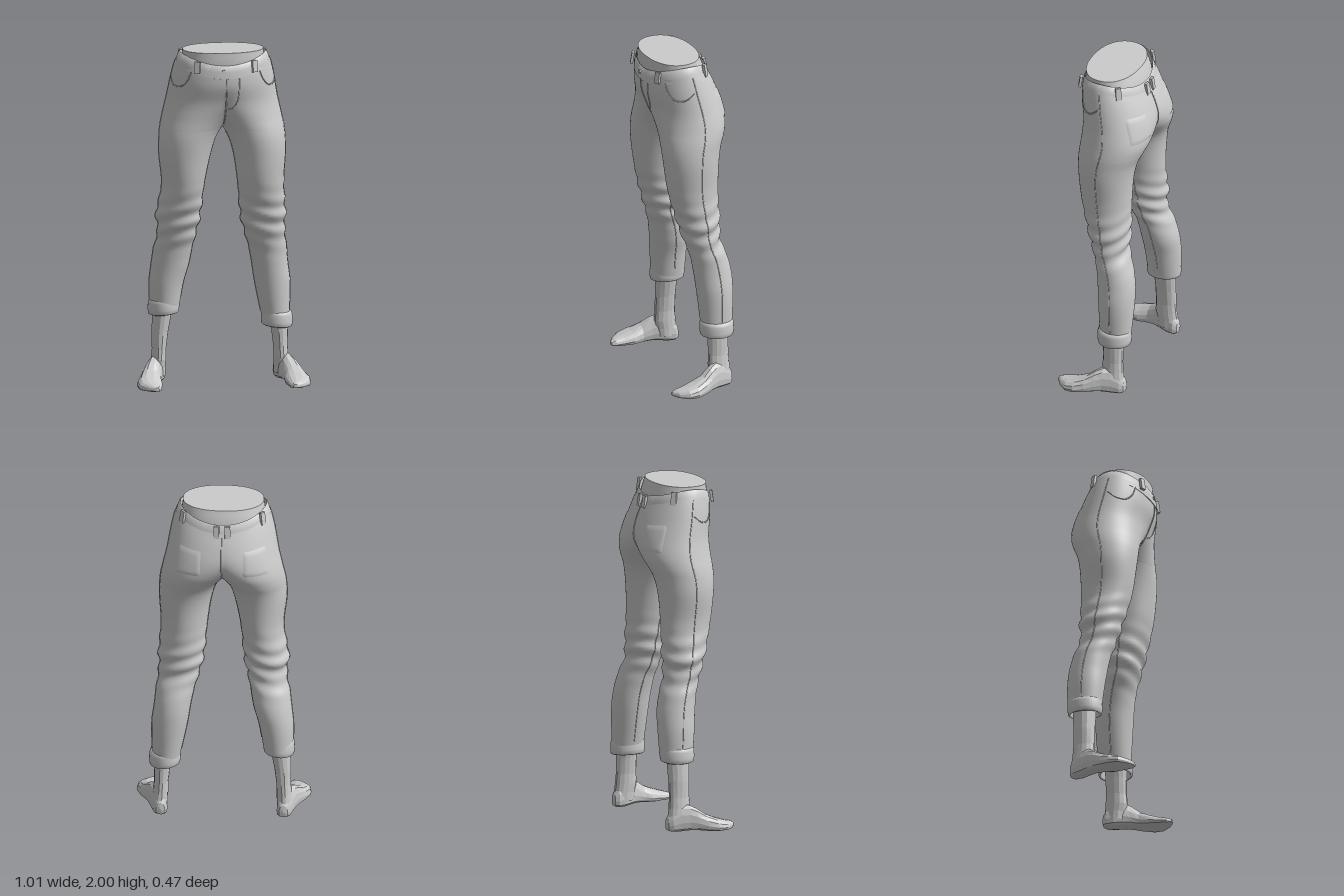
import * as THREE from 'three';
import { mergeGeometries, mergeVertices, toCreasedNormals } from 'three/addons/utils/BufferGeometryUtils.js';

const V = (x, y, z) => new THREE.Vector3(x, y, z);
const cloth = new THREE.MeshStandardMaterial({ color: 0xcccccc, side: THREE.DoubleSide });
const skin = new THREE.MeshStandardMaterial({ color: 0xcccccc, flatShading: true, side: THREE.DoubleSide });

// Surface through rows of points; winding is outward for rows going up, columns going from +x to +z
function loft(rows, flip = false) {
  const n = rows[0].length, pos = [], idx = [];
  rows.forEach(r => r.forEach(p => pos.push(p.x, p.y, p.z)));
  for (let i = 0; i < rows.length - 1; i++) for (let j = 0; j < n - 1; j++) {
    const a = i * n + j, b = a + n, c = a + 1, d = b + 1;
    idx.push(...(flip ? [a, c, b, b, c, d] : [a, b, c, b, d, c]));
  }
  const g = new THREE.BufferGeometry();
  g.setAttribute('position', new THREE.Float32BufferAttribute(pos, 3));
  g.setIndex(idx);
  return g;
}
const smooth = g => {
  g = mergeVertices(g, 1e-4);
  g.computeVertexNormals();
  return g;
};
// Closed ring of n sides built from an angle rule
const ring = (n, f) => Array.from({ length: n + 1 }, (_, i) => f((i % n) / n * Math.PI * 2));
const soft = (v, e) => Math.sign(v) * Math.abs(v) ** e;

// Trouser sections: height, outer x, inner x, front z, back z
const HIP = [[1.4, .37, .06, .175, -.16], [1.48, .367, .032, .18, -.178], [1.53, .362, 0, .18, -.2],
  [1.6, .348, -.07, .182, -.226], [1.7, .325, -.19, .195, -.228], [1.8, .3, -.265, .222, -.2], [1.88, .275, -.275, .225, -.165]];
const LEG = {
  left: [[.35, .405, .25, -.01, -.195], [.6, .408, .2, .01, -.208], [.7, .395, .185, .02, -.203], [.8, .385, .165, .035, -.18],
    [.9, .37, .135, .065, -.145], [1, .372, .112, .095, -.148], [1.2, .36, .092, .15, -.148]],
  right: [[.44, .41, .238, -.005, -.203], [.6, .412, .21, .01, -.208], [.7, .402, .182, .02, -.203], [.8, .39, .165, .035, -.18],
    [.9, .37, .145, .065, -.145], [1, .38, .125, .095, -.148], [1.2, .352, .102, .15, -.148]],
};
const curves = {};
for (const k in LEG) {
  const t = [...LEG[k], ...HIP];
  curves[k] = new THREE.CubicInterpolant(t.map(r => r[0]), t.flatMap(r => r.slice(1)), 4, new Float32Array(4));
}

// Point on the cloth: u runs from -1 (back seam) over 0 (outer side) to 1 (front seam)
function clothPoint(side, u, y, off = 0) {
  const [o, i, f, b] = curves[side].evaluate(y);
  const cx = (o + i) / 2, rx = (o - i) / 2, cz = (f + b) / 2, rz = (f - b) / 2;
  const A = i >= 0 ? Math.PI : Math.acos(Math.max(-1, -cx / rx));
  const a = u * A, s = side === 'left' ? 1 : -1;
  // folds gathered around the knee
  const knee = Math.exp(-(((y - .98) / .13) ** 2));
  off += knee * .008 * Math.sin(y * 62 + s * 1.5 * Math.sin(a) + 2 * Math.cos(a));
  const x = cx + (rx + off) * Math.cos(a), z = cz + (rz + off) * Math.sin(a);
  const lift = .06 * THREE.MathUtils.smoothstep(y, 1.68, 1.88) * (x / o) ** 2;
  return V(s * Math.max(0, x), y + lift, z);
}

function trouserHalf(side) {
  const y0 = LEG[side][0][0], rows = [];
  const ys = [];
  for (let i = 0; i < 75; i++) ys.push(y0 + (1.53 - y0) * i / 75);
  for (let i = 0; i <= 30; i++) ys.push(1.53 + .35 * (i / 30) ** 1.5);
  for (const y of ys) rows.push(Array.from({ length: 49 }, (_, j) => clothPoint(side, j / 24 - 1, y)));
  return loft(rows, side === 'right');
}

export function createModel() {
  const model = new THREE.Group();
  model.name = 'trouserLegs';
  const add = (name, g, mat = cloth) => {
    const m = new THREE.Mesh(g, mat);
    m.name = name;
    model.add(m);
    return m;
  };
  const seam = (name, side, pts, r = .0028) => add(name, new THREE.TubeGeometry(
    new THREE.CatmullRomCurve3(pts.map(([u, y]) => clothPoint(side, u, y, .001))), pts.length * 6, r, 5));
  const line = (u, y0, y1, n = 24) => Array.from({ length: n + 1 }, (_, i) => [u, y0 + (y1 - y0) * i / n]);

  add('trousers', smooth(mergeGeometries([trouserHalf('left'), trouserHalf('right')])));

  // Waistband: height, half width, front, back
  const bandRow = ([y, rx, f, b]) => ring(64, a =>
    V(rx * Math.cos(a), y + .058 * Math.cos(a) ** 2, (f + b) / 2 + (f - b) / 2 * Math.sin(a)));
  const band = [[1.85, .268, .218, -.16], [1.853, .28, .229, -.172], [1.89, .269, .226, -.163],
    [1.925, .256, .219, -.15], [1.929, .25, .214, -.146], [1.88, .25, .21, -.146]];
  add('waistband', toCreasedNormals(loft(band.map(bandRow)), .7));

  // Waist of the body inside the band, cut flat on top
  const waist = [[1.84, .248, .2, -.145], [1.93, .244, .206, -.132], [1.97, .238, .203, -.117], [2, .235, .2, -.105], [2, 0, .05, .05]];
  add('waist', toCreasedNormals(loft(waist.map(([y, rx, f, b]) => ring(48, a =>
    V(rx * soft(Math.cos(a), .9), y, (f + b) / 2 + (f - b) / 2 * soft(Math.sin(a), .9))))), .7));

  // Belt loops
  for (const s of [1, -1]) for (const [x, y, z, h] of [[.167, 1.92, .199, .068], [.232, 1.94, -.075, .075], [.032, 1.892, -.167, .072]]) {
    const loop = add('beltLoop', new THREE.BoxGeometry(.032, h, .016));
    loop.position.set(s * x, y, z);
    loop.rotation.set(z > 0 ? -.12 : .15, Math.atan2(s * x / .0729, (z - .03) / .0361), 0, 'YXZ');
    loop.rotation.x = -.15;
  }

  // Waist button and fly
  const button = add('button', new THREE.CylinderGeometry(.012, .012, .01, 16));
  button.rotation.x = Math.PI / 2 - .1;
  button.position.set(-.015, 1.895, .227);
  seam('flySeam', 'left', line(.995, 1.56, 1.86, 14), .004);
  seam('flyStitching', 'left', [[.83, 1.85], [.84, 1.78], [.86, 1.71], [.92, 1.67], [.99, 1.66]]);
  seam('seatSeam', 'left', line(-.995, 1.56, 1.86, 14), .003);

  for (const side of ['left', 'right']) {
    const s = side === 'left' ? 1 : -1, y0 = LEG[side][0][0];
    // Seams and pockets
    seam('sideSeam', side, line(0, y0 + .06, 1.87, 50));
    seam('innerSeam', side, line(1, y0 + .06, 1.5, 40));
    seam('frontPocketEdge', side, [[.5, 1.86], [.46, 1.81], [.36, 1.775], [.2, 1.775], [.04, 1.8]], .004);
    const pocket = [];
    for (let i = 0; i <= 10; i++) pocket.push(Array.from({ length: 13 }, (_, j) => {
      const edge = i % 10 === 0 || j % 12 === 0;
      return clothPoint(side, -.74 + .36 * j / 12, 1.63 + .145 * i / 10, edge ? -.001 : .004);
    }));
    add('backPocket', smooth(loft(pocket, s < 0)));

    // Turned-up cuff
    const cx = s > 0 ? .333 : .328, cy = s > 0 ? .365 : .455;
    const cuff = [[.04, .07], [-.035, .074], [-.045, .08], [-.04, .089], [-.015, .092], [.025, .09], [.042, .085], [.046, .074]];
    add('cuff', smooth(loft(cuff.map(([y, r]) => ring(36, a => V(
      s * (cx + r * Math.cos(a)), cy + y - .08 * r * Math.cos(a), -.1 + (r + .01) * Math.sin(a)))), s < 0)));

    // Bare shin: height, x, z, half width, half depth
    const shin = [[.04, .36, -.11, .045, .06], [.09, .36, -.108, .045, .064], [.14, .357, -.1, .044, .066], [.2, .354, -.1, .042, .062],
      [.3, .349, -.1, .049, .063], [.4, .338, -.1, .056, .067], [.52, .328, -.1, .06, .07]];
    add('shin', loft(shin.map(([y, x, z, rx, rz]) => ring(14, a => V(s * (x + rx * Math.cos(a)), y, z + rz * Math.sin(a)))), s < 0), skin)
      .geometry.computeVertexNormals();

    // Foot from toe to heel: z, x, half width, bottom, top
    const foot = [[.222, .405, 0, .022, .022], [.22, .405, .014, .012, .034], [.195, .417, .042, .006, .046], [.145, .434, .068, .003, .06],
      [.09, .431, .075, .001, .078], [.03, .421, .062, .004, .104], [-.02, .402, .055, .008, .14], [-.06, .385, .051, .006, .16],
      [-.11, .367, .049, 0, .16], [-.155, .358, .042, .001, .12], [-.177, .356, .026, .01, .085], [-.183, .356, 0, .045, .045]];
    add('foot', loft(foot.map(([z, x, w, b, t]) => ring(14, a => {
      const v = Math.sin(a), mid = b + (t - b) * .35;
      // flat sole, domed instep
      return V(s * (x + w * soft(Math.cos(a), .85)), v < 0 ? mid + (mid - b) * soft(v, .5) : mid + (t - mid) * v, z);
    })), s > 0 ? false : true), skin).geometry.computeVertexNormals();
  }
  return model;
}
